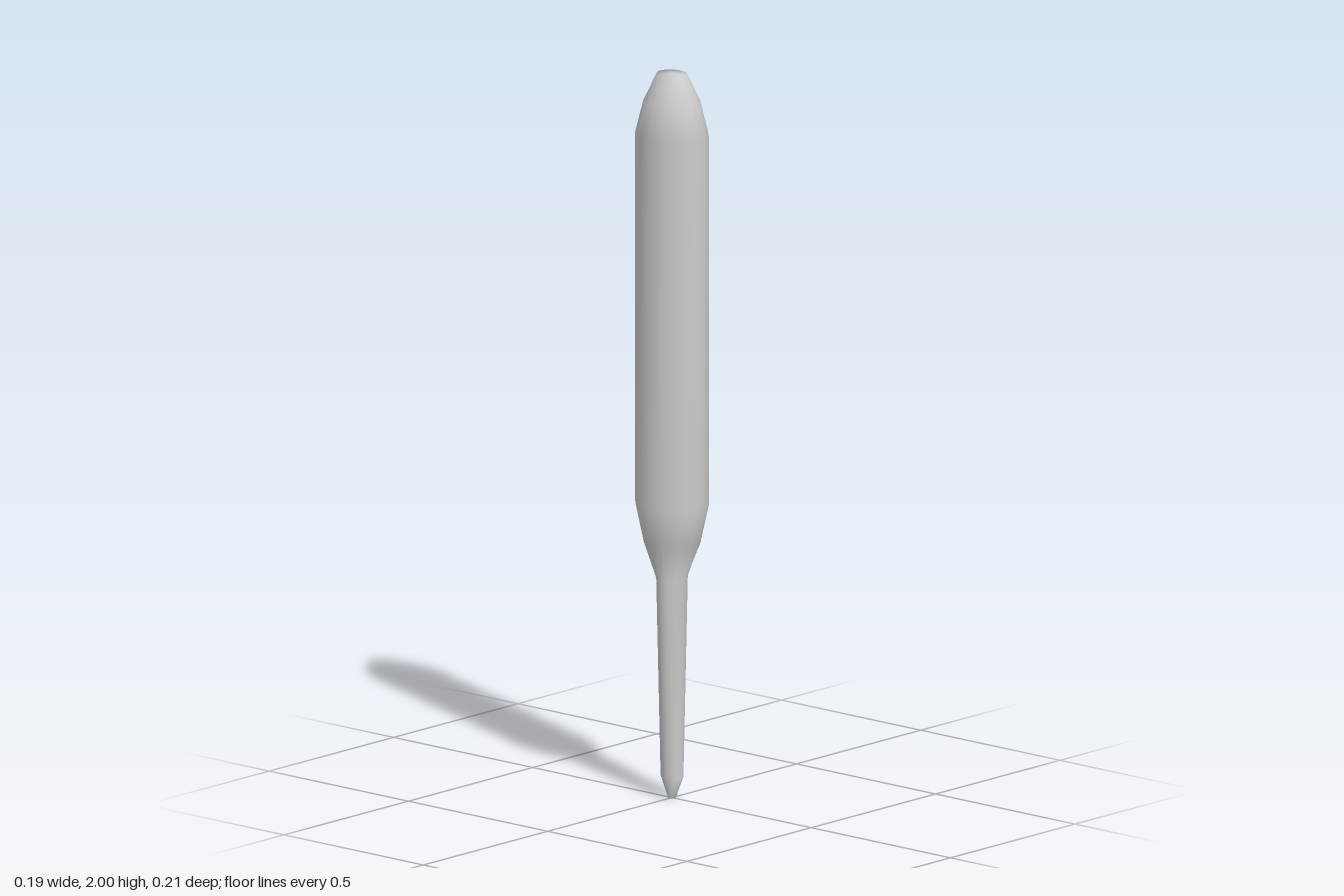
import * as THREE from 'three';

const SIDES = 18;

// Oval cross-sections from tip to butt: height, half-width in x, half-depth in z
const SECTIONS = [
  [0.0, 0.012, 0.009],
  [0.06, 0.026, 0.034],
  [0.61, 0.05, 0.035],
  [0.71, 0.073, 0.081],
  [0.815, 0.093, 0.105],
  [1.83, 0.093, 0.105],
  [1.92, 0.073, 0.082],
  [2.0, 0.037, 0.043],
];

// Joins oval rings into a closed, smooth-shaded skin
function loft(sections) {
  const pos = [];
  const index = [];
  for (const [y, rx, rz] of sections) {
    for (let i = 0; i < SIDES; i++) {
      const a = (i / SIDES) * Math.PI * 2;
      pos.push(rx * Math.cos(a), y, rz * Math.sin(a));
    }
  }
  const last = sections.length - 1;
  const bottom = pos.length / 3;
  pos.push(0, sections[0][0], 0, 0, sections[last][0], 0);
  for (let i = 0; i < SIDES; i++) {
    const j = (i + 1) % SIDES;
    for (let r = 0; r < last; r++) {
      const a = r * SIDES + i;
      const b = r * SIDES + j;
      index.push(a, a + SIDES, b, b, a + SIDES, b + SIDES);
    }
    // End caps
    index.push(bottom, i, j);
    index.push(bottom + 1, last * SIDES + j, last * SIDES + i);
  }
  const geometry = new THREE.BufferGeometry();
  geometry.setAttribute('position', new THREE.Float32BufferAttribute(pos, 3));
  geometry.setIndex(index);
  geometry.computeVertexNormals();
  return geometry;
}

export function createModel() {
  const model = new THREE.Group();
  model.name = 'handTool';

  // Oval handle running smoothly into the tapered shank
  const material = new THREE.MeshStandardMaterial({ color: 0xcccccc });
  const body = new THREE.Mesh(loft(SECTIONS), material);
  body.name = 'handleAndShank';
  model.add(body);

  return model;
}
